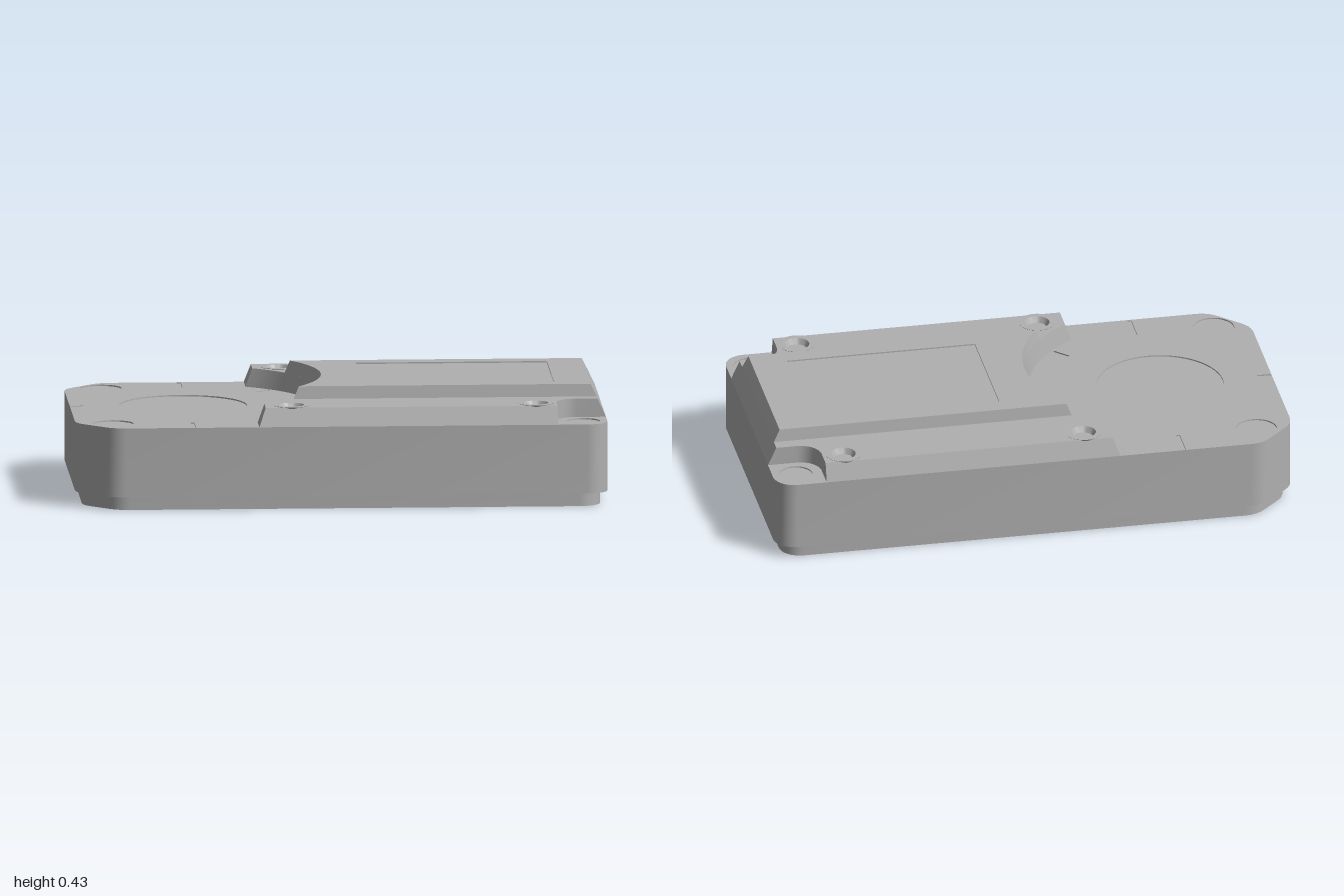
import * as THREE from 'three';
import { mergeGeometries, toCreasedNormals } from 'three/addons/utils/BufferGeometryUtils.js';

const V = (x, y) => new THREE.Vector2(x, y);

// Points on an arc in plan
function arc(cx, cy, r, a0, a1, n) {
  return Array.from({ length: n + 1 }, (_, i) => {
    const a = a0 + (a1 - a0) * i / n;
    return V(cx + r * Math.cos(a), cy + r * Math.sin(a));
  });
}
const circle = (x, y, r, n = 40) => arc(x, y, r, 0, Math.PI * 2, n).slice(0, -1);

// Rectangle in plan, turned by angle a about its centre
function rect(x, y, w, h, a = 0) {
  const o = V(x, y);
  return [[-1, -1], [1, -1], [1, 1], [-1, 1]].map(([i, j]) =>
    V(x + i * w / 2, y + j * h / 2).rotateAround(o, a));
}

// Flat face at height y
function cap(points, y, holes = [], down = false) {
  const shape = new THREE.Shape(points);
  shape.holes = holes.map(h => new THREE.Path(h));
  const g = new THREE.ShapeGeometry(shape).rotateX(down ? Math.PI / 2 : -Math.PI / 2);
  if (down) g.scale(1, 1, 1);
  return g.translate(0, y, 0).toNonIndexed();
}

// Wall between a lower and an upper outline (counter-clockwise faces outward)
function wall(low, y0, high, y1) {
  const pos = [];
  low.forEach((a, i) => {
    const j = (i + 1) % low.length, b = low[j], c = high[j], d = high[i];
    pos.push(a.x, y0, -a.y, b.x, y0, -b.y, c.x, y1, -c.y);
    pos.push(a.x, y0, -a.y, c.x, y1, -c.y, d.x, y1, -d.y);
  });
  const g = new THREE.BufferGeometry();
  g.setAttribute('position', new THREE.Float32BufferAttribute(pos, 3));
  return g;
}

// Slab with sloped sides and recesses sunk in its top
function slab(low, y0, high, y1, { holes = [], depth = 0.005, bottom = false } = {}) {
  const parts = [wall(low, y0, high, y1), cap(high, y1, holes)];
  if (bottom) parts.push(cap(low, y0, [], true));
  for (const h of holes) {
    const inward = [...h].reverse();
    parts.push(wall(inward, y1 - depth, inward, y1), cap(h, y1 - depth));
  }
  for (const g of parts) { g.deleteAttribute('uv'); g.deleteAttribute('normal'); }
  return toCreasedNormals(mergeGeometries(parts), 0.45);
}

// Case outline: rounded corners at +x, softened chamfers at -x
function caseOutline(inset) {
  const X = 1 - inset, Z = 0.54 - inset, r = 0.08, c = 0.14 - inset * 0.4, k = 0.045;
  const soft = (p, q, s) => new THREE.QuadraticBezierCurve(p, q, s).getPoints(5);
  const e = k * Math.SQRT1_2;
  const half = [
    ...arc(X - r, Z - r, r, 0, Math.PI / 2, 10),
    ...soft(V(-X + c + k, Z), V(-X + c, Z), V(-X + c - e, Z - e)),
    ...soft(V(-X + e, Z - c + e), V(-X, Z - c), V(-X, Z - c - k)),
  ];
  return [...half, ...half.map(p => V(p.x, -p.y)).reverse()];
}

// Concave arc of the round bay, running from +y to -y
const BAY = -0.573;
function bayArc(r, a) { return arc(BAY, 0, r, a, -a, 36); }

// Lower step: bay cutout on one end, filleted pockets at the other corners
function stepOutline(xl, z, r, xr) {
  const f = arc(0.89, -0.44, 0.08, Math.PI, Math.PI / 2, 8);
  const half = [V(xl, -z), V(0.81, -z), ...f, V(xr, -0.36)];
  return [...half, ...half.map(p => V(p.x, -p.y)).reverse(), ...bayArc(r, Math.acos((xl - BAY) / r))];
}

// Upper step
function upperOutline(z, r, xr) {
  return [V(xr, -z), V(xr, z), ...bayArc(r, Math.asin(z / r))];
}

export function createModel() {
  const group = new THREE.Group();
  const grey = new THREE.MeshStandardMaterial({ color: 0xb0b0b0 });
  grey.name = 'grey';
  const add = (name, geometry) => {
    const mesh = new THREE.Mesh(geometry, grey);
    mesh.name = name;
    group.add(mesh);
    return mesh;
  };

  // Base plate
  const base = caseOutline(0.027);
  add('basePlate', slab(base, 0, base, 0.052, { bottom: true }));

  // Case with shallow round seats and index marks in its deck
  const marks = [circle(BAY, 0, 0.24, 56), rect(-0.97, 0, 0.05, 0.012)];
  for (const s of [-1, 1]) {
    marks.push(
      circle(-0.86, s * 0.42, 0.078),
      circle(0.91, s * 0.45, 0.062),
      rect(-0.56, s * 0.475, 0.014, 0.12),
      rect(BAY + 0.318, s * 0.318, 0.07, 0.012, s * Math.PI / 4));
  }
  const body = caseOutline(0);
  add('case', slab(body, 0.052, body, 0.315, { holes: marks, bottom: true }));

  // Lower step with screw holes
  const screws = [-0.19, 0.73].flatMap(x => [[x, -0.455], [x, 0.455]]);
  add('lowerStep', slab(
    stepOutline(-0.315, 0.54, 0.493, 1), 0.315,
    stepOutline(-0.29, 0.518, 0.507, 0.968), 0.385,
    { holes: screws.map(([x, y]) => circle(x, y, 0.055)), depth: 0.03 }));

  // Upper step with a sunken label panel
  add('upperStep', slab(
    upperOutline(0.312, 0.507, 0.968), 0.385,
    upperOutline(0.305, 0.518, 0.945), 0.432,
    { holes: [rect(0.45, 0, 0.72, 0.48)] }));

  // Countersunk screw bosses
  const profile = [[0.045, 0.34], [0.068, 0.3865], [0.047, 0.3865], [0.036, 0.365], [0, 0.365]];
  const boss = toCreasedNormals(
    new THREE.LatheGeometry(profile.map(([r, y]) => V(r, y)), 32), 0.45);
  for (const [x, z] of screws) add('screwBoss', boss).position.set(x, 0, z);

  return group;
}
